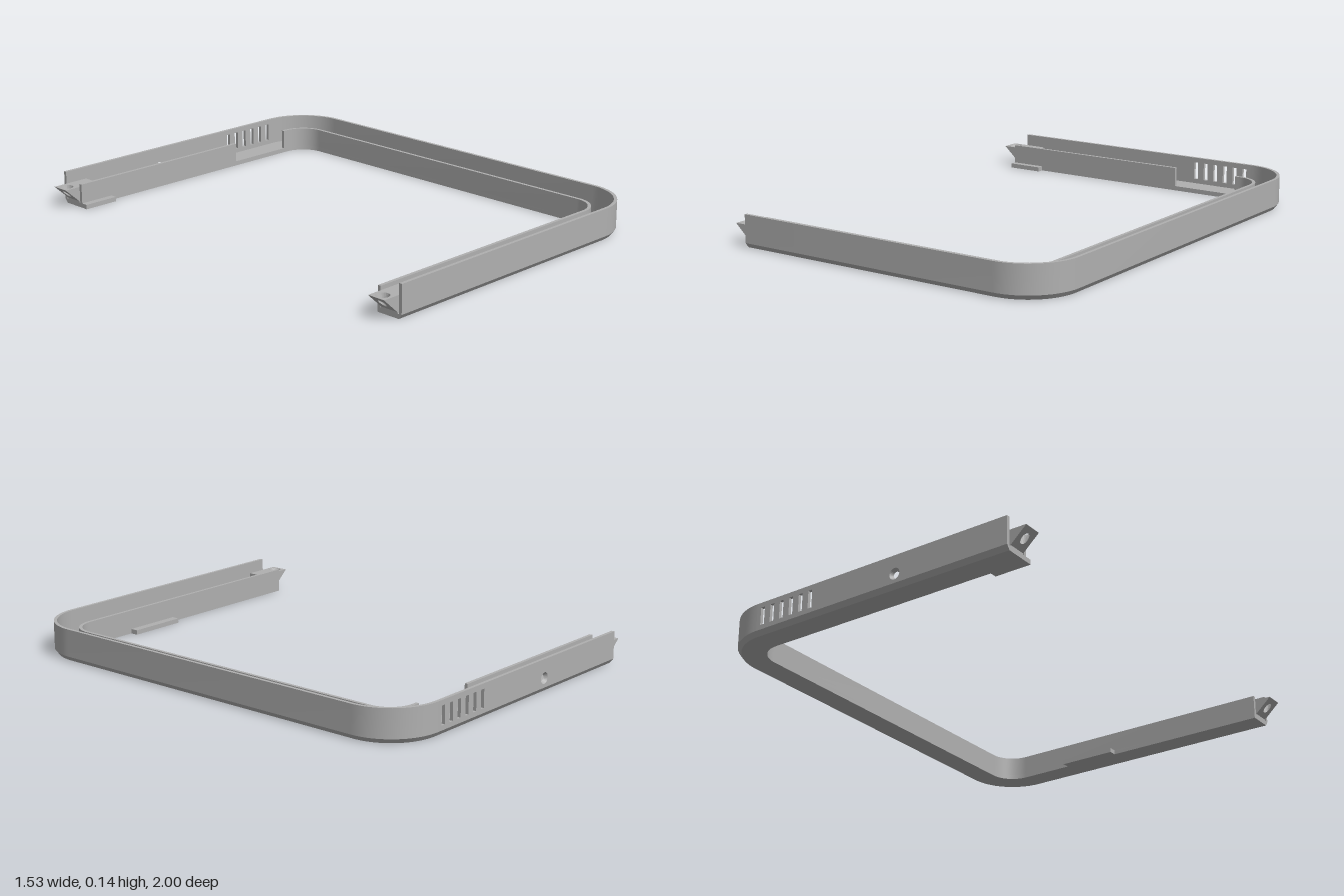
import * as THREE from 'three';
import { toCreasedNormals } from 'three/addons/utils/BufferGeometryUtils.js';

const END = -0.7, CX = 0.53, CZ = 0.77, R = 0.23;   // arm end, corner centre, outer corner radius
const WIDTH = 0.12, WALL = 0.014, FLOOR = 0.02, TOP = 0.14, LIP = 0.105;

// U-shaped plan line, d inward from the outer edge, from the front arm to the back arm
function planLine(d, backEnd) {
  const r = R - d, pts = [[END, CZ + r]], n = 20;
  for (const side of [1, -1]) {
    for (let i = 0; i <= n; i++) {
      const a = (side > 0 ? 1 - i / n : -i / n) * Math.PI / 2;
      pts.push([CX + r * Math.cos(a), side * CZ + r * Math.sin(a)]);
    }
  }
  if (backEnd < CX) pts.push([backEnd, -CZ - r]);
  return pts;
}

// Sweep a convex section of [inset, y] points along the U, with closed ends
function sweep(section, backEnd) {
  const lines = section.map(([d]) => planLine(d, backEnd));
  const m = section.length, count = lines[0].length, pos = [], idx = [];
  for (let i = 0; i < count; i++) {
    section.forEach(([, y], j) => pos.push(lines[j][i][0], y, lines[j][i][1]));
  }
  for (let i = 0; i < count - 1; i++) {
    for (let j = 0; j < m; j++) {
      const a = i * m + j, b = i * m + (j + 1) % m;
      idx.push(a, b, a + m, b, b + m, a + m);
    }
  }
  const last = (count - 1) * m;
  for (let k = 1; k < m - 1; k++) {
    idx.push(0, k + 1, k, last, last + k, last + k + 1);
  }
  const g = new THREE.BufferGeometry();
  g.setAttribute('position', new THREE.Float32BufferAttribute(pos, 3));
  g.setIndex(idx);
  return toCreasedNormals(g, 0.5);
}

function rectangle(Type, x0, y0, x1, y1) {
  const p = new Type();
  p.moveTo(x0, y0).lineTo(x1, y0).lineTo(x1, y1).lineTo(x0, y1).closePath();
  return p;
}

function roundHole(x, y, r) {
  const p = new THREE.Path();
  p.absarc(x, y, r, 0, Math.PI * 2, true);
  return p;
}

// Move every vertex by a rule, then refresh the normals
function reshape(g, rule) {
  const p = g.attributes.position, v = new THREE.Vector3();
  for (let i = 0; i < p.count; i++) {
    rule(v.fromBufferAttribute(p, i));
    p.setXYZ(i, v.x, v.y, v.z);
  }
  g.computeVertexNormals();
  return g;
}

// Straight outer wall of the back arm with vents and a countersunk screw hole
function ventedWall() {
  const s = rectangle(THREE.Shape, END, FLOOR, CX, TOP);
  for (let i = 0; i < 6; i++) {
    const x = 0.24 + i * 0.05;
    s.holes.push(rectangle(THREE.Path, x, 0.04, x + 0.02, 0.118));
  }
  const hx = -0.175, hy = 0.06;
  s.holes.push(roundHole(hx, hy, 0.014));
  const g = new THREE.ExtrudeGeometry(s, { depth: WALL, bevelEnabled: false, curveSegments: 12 });
  return reshape(g, v => {
    if (v.z < 0.001 && Math.hypot(v.x - hx, v.y - hy) < 0.016) {
      v.x = hx + (v.x - hx) * 1.75;
      v.y = hy + (v.y - hy) * 1.75;
    }
    v.z += -CZ - R;
  });
}

// Wedge nose with a sloping underside and a countersunk vertical hole
function noseWedge() {
  const s = rectangle(THREE.Shape, -0.77, -0.04, END, 0.04), hx = -0.735;
  s.holes.push(roundHole(hx, 0, 0.017));
  const g = new THREE.ExtrudeGeometry(s, { depth: 1, bevelEnabled: false, curveSegments: 10 });
  g.rotateX(-Math.PI / 2);
  return reshape(g, v => {
    if (v.y > 0.5) {
      if (Math.hypot(v.x - hx, v.z) < 0.02) {
        v.x = hx + (v.x - hx) * 1.65;
        v.z *= 1.65;
      }
      v.y = 0.09;
    } else {
      v.y = 0.089 - (v.x + 0.77) * 0.91;
    }
  });
}

export function createModel() {
  const model = new THREE.Group();
  model.name = 'channelFrame';
  const grey = new THREE.MeshStandardMaterial({ color: 0xb0b0b0 });
  grey.name = 'grey';

  const add = (name, geometry, parent = model) => {
    const mesh = new THREE.Mesh(geometry, grey);
    mesh.name = name;
    parent.add(mesh);
    return mesh;
  };
  const box = (name, x0, x1, y0, y1, z0, z1, parent) =>
    add(name, new THREE.BoxGeometry(x1 - x0, y1 - y0, z1 - z0), parent)
      .position.set((x0 + x1) / 2, (y0 + y1) / 2, (z0 + z1) / 2);

  // Channel floor with a chamfered outer edge
  add('floor', sweep([[0, FLOOR], [0.015, 0], [WIDTH, 0], [WIDTH, FLOOR]], END));

  // Tall outer wall
  add('outerWall', sweep([[0, TOP], [0, FLOOR], [WALL, FLOOR], [WALL, TOP]], CX));
  add('ventedWall', ventedWall());

  // Low inner wall, left open opposite the vents
  const a = WIDTH - WALL;
  add('innerWall', sweep([[a, LIP], [a, FLOOR], [WIDTH, FLOOR], [WIDTH, LIP]], 0.51));
  box('innerWallBack', END, 0.2, FLOOR, LIP, -1 + a, -1 + WIDTH);

  // Ledge tabs along the inner bottom edges
  box('frontTab', 0.03, 0.29, 0, 0.02, 0.845, 0.885);
  box('backTab', END, -0.54, 0, 0.02, -0.885, -0.85);

  // Connector at the end of each arm
  for (const side of [1, -1]) {
    const connector = new THREE.Group();
    connector.name = side > 0 ? 'frontConnector' : 'backConnector';
    connector.position.z = side * 0.938;
    add('noseWedge', noseWedge(), connector);
    box('connectorBlock', END, -0.6, FLOOR, 0.09, -0.04, 0.04, connector);
    model.add(connector);
  }
  return model;
}
